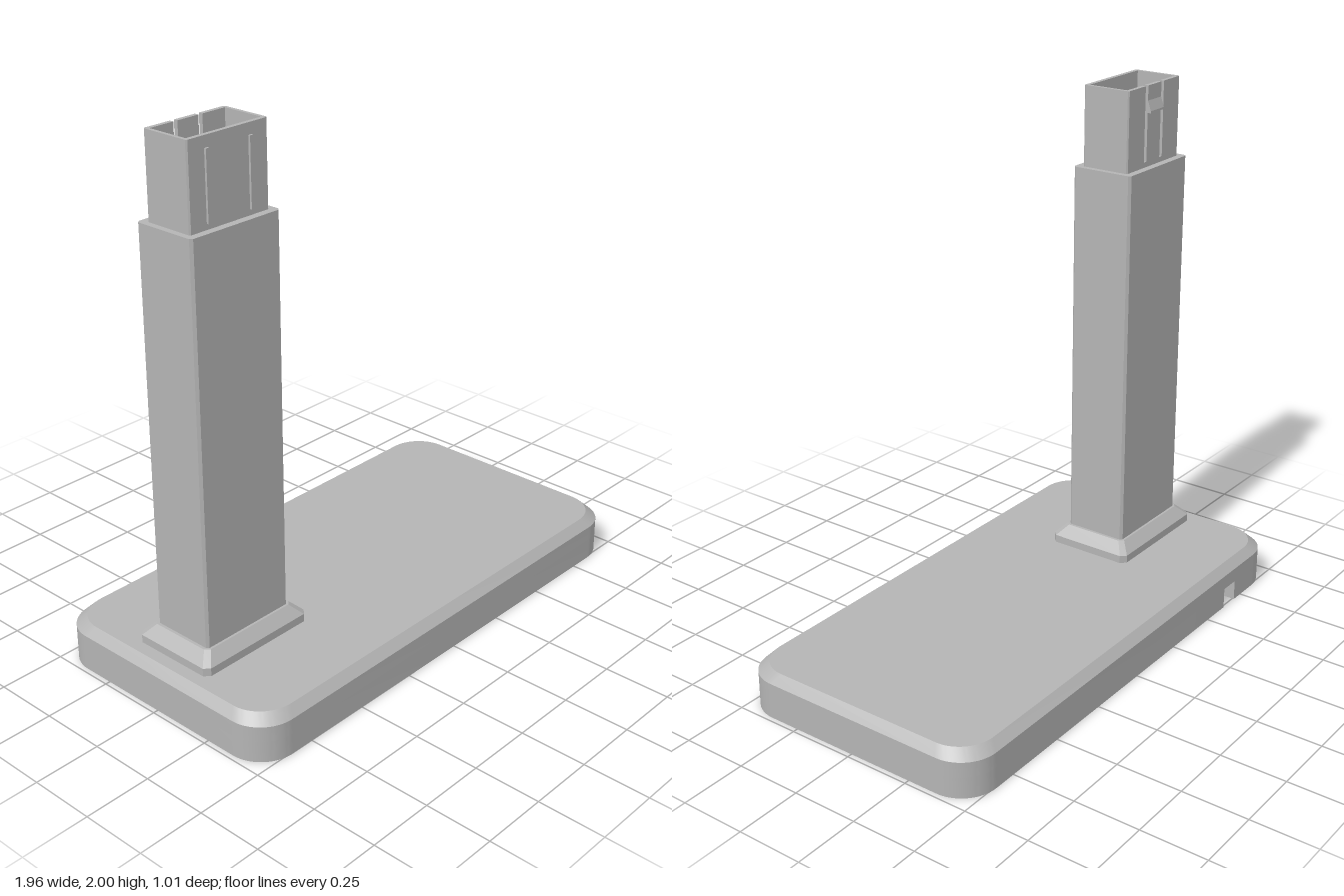
import * as THREE from 'three';
import { toCreasedNormals } from 'three/addons/utils/BufferGeometryUtils.js';

const CX = -0.66; // centre of the column
const HOLE = { w: 0.158, d: 0.08 }; // half size of the cable shaft
const grey = new THREE.MeshStandardMaterial({ color: 0xb4b4b4 });
grey.name = 'grey plastic';

// Rectangle with corners cut off, centred on (cx, 0)
function chamferedRect(cx, w, d, c) {
  return new THREE.Shape([
    [w - c, -d], [w, -d + c], [w, d - c], [w - c, d],
    [-w + c, d], [-w, d - c], [-w, -d + c], [-w + c, -d],
  ].map(([x, y]) => new THREE.Vector2(cx + x, y)));
}

// Rounded rectangle; a notch and shaft in the back edge are optional
function baseOutline(w, d, r, channel) {
  const s = new THREE.Shape();
  s.moveTo(-w + r, -d).lineTo(w - r, -d);
  s.absarc(w - r, -d + r, r, -Math.PI / 2, 0);
  s.lineTo(w, d - r);
  s.absarc(w - r, d - r, r, 0, Math.PI / 2);
  if (channel) {
    const { w: hw, d: hd } = HOLE, n = 0.04;
    for (const [x, y] of [[n, d], [n, hd], [hw, hd], [hw, -hd], [-hw, -hd], [-hw, hd], [-n, hd], [-n, d]])
      s.lineTo(CX + x, y);
  }
  s.lineTo(-w + r, d);
  s.absarc(-w + r, d - r, r, Math.PI / 2, Math.PI);
  s.lineTo(-w, -d + r);
  s.absarc(-w + r, -d + r, r, Math.PI, Math.PI * 1.5);
  return s;
}

function addShaft(shape) {
  const { w, d } = HOLE;
  shape.holes.push(new THREE.Path([[-w, -d], [-w, d], [w, d], [w, -d]].map(([x, y]) => new THREE.Vector2(CX + x, y))));
  return shape;
}

// Upright extrusion; taper = [cx, sx, sz] shrinks the outer top edge
function prism(name, shape, y0, y1, taper) {
  const g = new THREE.ExtrudeGeometry(shape, { depth: y1 - y0, bevelEnabled: false, curveSegments: 12 });
  g.rotateX(-Math.PI / 2).translate(0, y0, 0);
  if (taper) {
    const [cx, sx, sz] = taper, p = g.attributes.position;
    for (let i = 0; i < p.count; i++) {
      const x = p.getX(i), z = p.getZ(i);
      const inShaft = Math.abs(x - CX) < HOLE.w + 0.001 && Math.abs(z) < HOLE.d + 0.001;
      if (p.getY(i) < y1 - 0.001 || inShaft) continue;
      p.setX(i, cx + (x - cx) * sx);
      p.setZ(i, z * sz);
    }
  }
  const mesh = new THREE.Mesh(toCreasedNormals(g, 0.5), grey);
  mesh.name = name;
  return mesh;
}

function box(name, w, h, d, x, y, z) {
  const mesh = new THREE.Mesh(new THREE.BoxGeometry(w, h, d), grey);
  mesh.position.set(x, y, z);
  mesh.name = name;
  return mesh;
}

export function createModel() {
  const model = new THREE.Group();
  model.name = 'stand';

  // Base plate with cable channel underneath and chamfered top edge
  const W = 0.982, D = 0.507, R = 0.14;
  model.add(
    prism('baseBottom', baseOutline(W, D, R, true), 0, 0.08),
    prism('baseMiddle', addShaft(baseOutline(W, D, R)), 0.08, 0.137),
    prism('baseTop', addShaft(baseOutline(W, D, R)), 0.137, 0.17, [0, 0.951 / W, 0.476 / D]),
  );

  // Collar around the foot of the column
  const collar = () => addShaft(chamferedRect(CX, 0.245, 0.172, 0.02));
  model.add(
    prism('collar', collar(), 0.17, 0.2),
    prism('collarSlope', collar(), 0.2, 0.24, [CX, 0.204 / 0.245, 0.133 / 0.172]),
  );

  // Hollow column
  model.add(prism('column', addShaft(chamferedRect(CX, 0.193, 0.124, 0.009)), 0.24, 1.7));

  // Plug at the top, split at the back by two slots beside a spring tab
  const w = 0.171, d = 0.096, gap = 0.061, tab = 0.044, c = 0.005;
  const { w: hw, d: hd } = HOLE;
  const open = new THREE.Shape([
    [-gap, d], [-w + c, d], [-w, d - c], [-w, -d + c], [-w + c, -d],
    [w - c, -d], [w, -d + c], [w, d - c], [w - c, d], [gap, d],
    [gap, hd], [hw, hd], [hw, -hd], [-hw, -hd], [-hw, hd], [-gap, hd],
  ].map(([x, y]) => new THREE.Vector2(CX + x, y)));
  model.add(
    prism('plugRoot', addShaft(chamferedRect(CX, w, d, c)), 1.7, 1.72),
    prism('plug', open, 1.72, 2),
    box('springTab', tab * 2, 0.28, d - hd, CX, 1.86, -(d + hd) / 2),
  );

  // Wedge catch on the tab
  const wedge = new THREE.Shape([[0, 0], [0.013, 0], [0.013, 0.008], [0, 0.045]].map(([x, y]) => new THREE.Vector2(x, y)));
  const catchGeo = new THREE.ExtrudeGeometry(wedge, { depth: tab * 2, bevelEnabled: false });
  catchGeo.rotateY(Math.PI / 2).translate(CX - tab, 1.9, -d);
  const latch = new THREE.Mesh(catchGeo, grey);
  latch.name = 'catch';
  model.add(latch);

  // Crush ribs on the front of the plug
  for (const s of [-1, 1]) model.add(box('rib', 0.014, 0.24, 0.012, CX + s * 0.093, 1.84, d + 0.002));

  return model;
}
